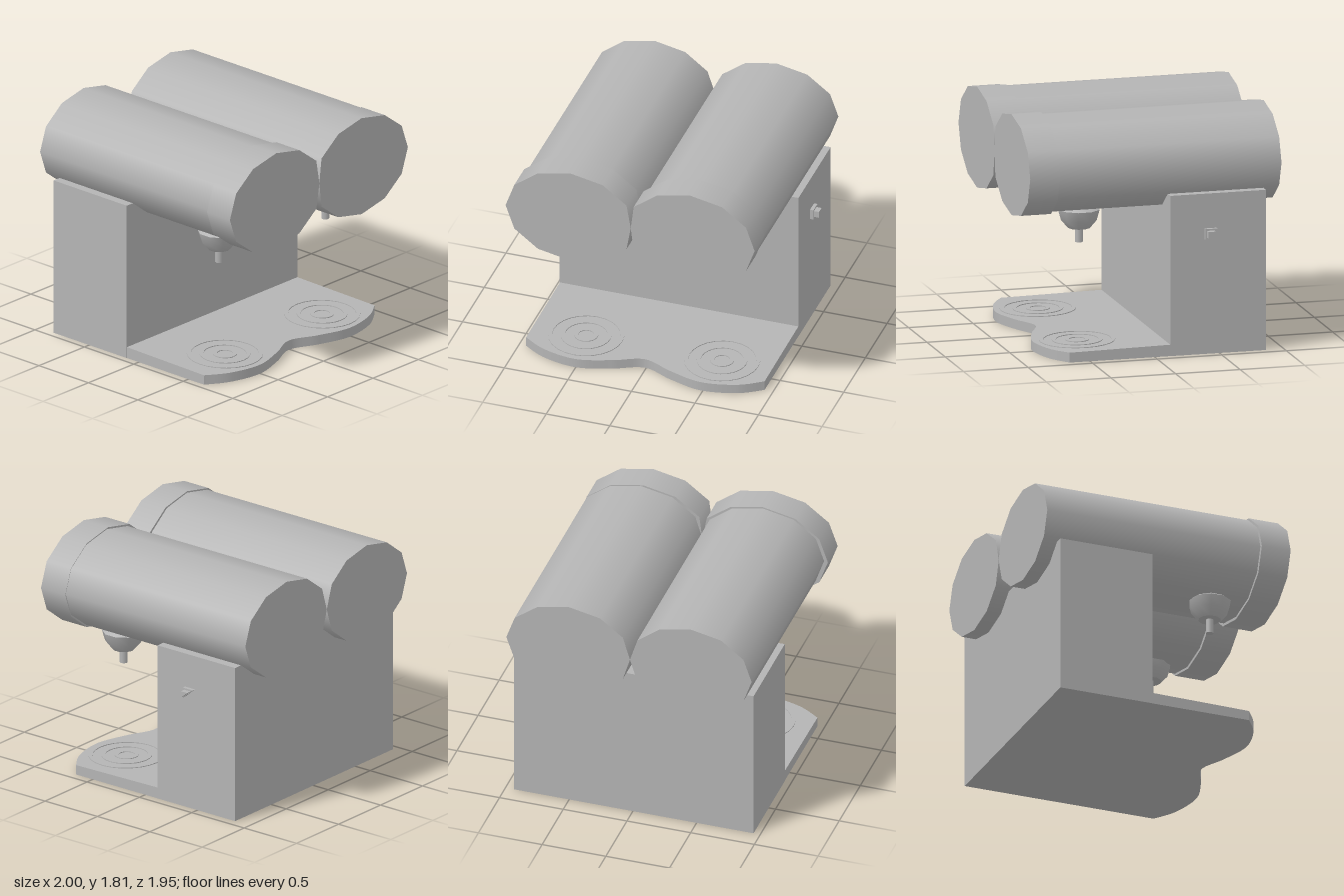
import * as THREE from 'three';
import { toCreasedNormals } from 'three/addons/utils/BufferGeometryUtils.js';

export function createModel() {
  const grey = new THREE.MeshStandardMaterial({ color: 0xb4b4b4 });
  grey.name = 'grey';
  const model = new THREE.Group();
  model.name = 'twinDrinkMachine';

  const add = (name, geometry, x = 0, y = 0, z = 0) => {
    const mesh = new THREE.Mesh(geometry, grey);
    mesh.name = name;
    mesh.position.set(x, y, z);
    model.add(mesh);
    return mesh;
  };

  // Twelve-sided oval drum lying along z, its inner edge held at the seam
  const seam = -0.015;
  const drum = (cx, cy, rx, ry, z0, z1) => {
    const g = new THREE.CylinderGeometry(1, 1, z1 - z0, 12);
    g.rotateX(Math.PI / 2);
    g.scale(rx, ry, 1);
    g.translate(cx, cy, (z0 + z1) / 2);
    const p = g.attributes.position;
    for (let i = 0; i < p.count; i++) {
      const x = p.getX(i);
      p.setX(i, cx < 0 ? Math.min(x, seam) : Math.max(x, seam));
    }
    return g;
  };
  add('rightDrum', drum(-0.49, 1.43, 0.48, 0.37, -0.975, 0.8));
  add('leftDrum', drum(0.465, 1.43, 0.49, 0.37, -0.975, 0.8));
  add('rightDrumCap', drum(-0.49, 1.425, 0.51, 0.386, 0.74, 0.972));
  add('leftDrumCap', drum(0.45, 1.425, 0.51, 0.386, 0.74, 0.972));

  // Rear housing
  add('housing', new THREE.BoxGeometry(1.88, 1.225, 0.74), -0.007, 0.6125, -0.49);

  // Drip tray with a two-lobed front edge, its top falling slightly to the front
  const outline = new THREE.Shape();
  outline.moveTo(-0.945, 0.2);
  outline.lineTo(-0.945, -0.66);
  outline.splineThru([
    [-0.76, -0.77], [-0.5, -0.82], [-0.24, -0.75], [-0.01, -0.66],
    [0.22, -0.75], [0.48, -0.82], [0.75, -0.77], [0.932, -0.66],
  ].map(([x, y]) => new THREE.Vector2(x, y)));
  outline.lineTo(0.932, 0.2);
  const topAt = (z) => 0.087 - 0.015 * (z + 0.125);
  let tray = new THREE.ExtrudeGeometry(outline, { depth: 0.08, bevelEnabled: false, curveSegments: 24 });
  tray.rotateX(-Math.PI / 2);
  const tp = tray.attributes.position;
  for (let i = 0; i < tp.count; i++) if (tp.getY(i) > 0.04) tp.setY(i, topAt(tp.getZ(i)));
  tray = toCreasedNormals(tray, 0.6);
  add('dripTray', tray);

  // Thin concentric rings on the tray
  const ringGeometry = (outer, inner) => {
    const s = new THREE.Shape().absarc(0, 0, outer, 0, Math.PI * 2);
    s.holes.push(new THREE.Path().absarc(0, 0, inner, 0, Math.PI * 2, true));
    const g = new THREE.ExtrudeGeometry(s, { depth: 0.009, bevelEnabled: false, curveSegments: 12 });
    return g.rotateX(-Math.PI / 2);
  };
  for (const [side, x] of [['right', -0.53], ['left', 0.54]]) {
    for (const r of [0.285, 0.19, 0.09]) {
      const ring = add(side + 'TrayRing', ringGeometry(r, r - 0.03), x, topAt(0.49) - 0.003, 0.49);
      ring.rotation.x = 0.015;
    }
  }

  // Nozzle cups with spouts under the drums
  const cupProfile = [[0, 0.945], [0.085, 0.945], [0.14, 1.01], [0.163, 1.09], [0.1, 1.13], [0, 1.14]]
    .map(([r, y]) => new THREE.Vector2(r, y));
  for (const [side, x] of [['right', -0.59], ['left', 0.58]]) {
    add(side + 'NozzleCup', toCreasedNormals(new THREE.LatheGeometry(cupProfile, 10), 0.7), x, 0, 0.487);
    add(side + 'Spout', new THREE.CylinderGeometry(0.03, 0.03, 0.13, 8), x, 0.9, 0.487);
  }

  // Three-cornered switch on the left wall: a wide base and a smaller button
  const wedge = (size, depth) => {
    const s = new THREE.Shape();
    s.moveTo(0, 0);
    s.lineTo(0, -0.85 * size);
    s.lineTo(size, 0);
    const g = new THREE.ExtrudeGeometry(s, { depth, bevelEnabled: false });
    return g.rotateY(Math.PI / 2);
  };
  add('switchBase', wedge(0.095, 0.035), 0.925, 0.96, -0.383);
  add('switchButton', wedge(0.06, 0.06), 0.94, 0.946, -0.396);

  return model;
}
